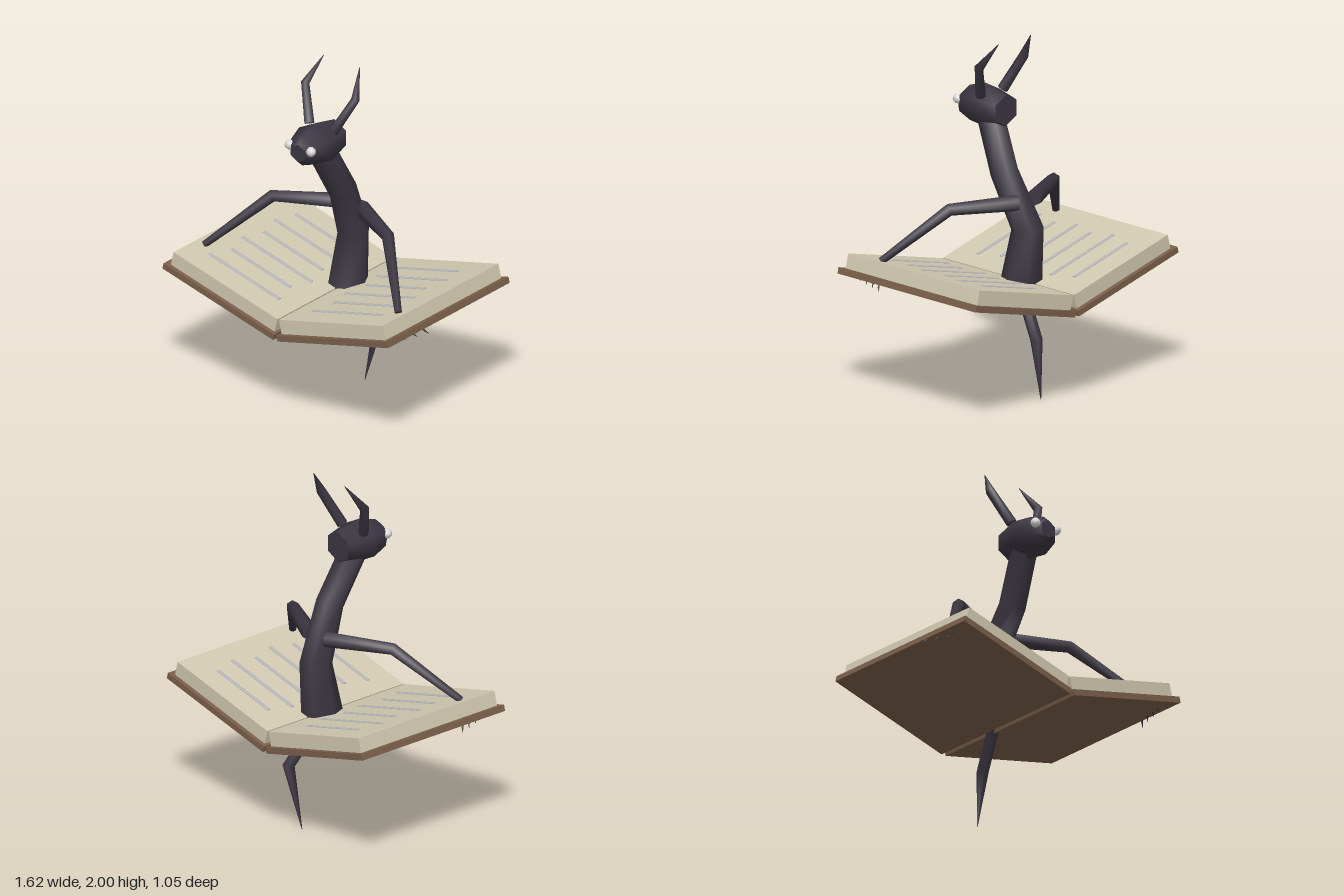
import * as THREE from 'three';

const mat = (name, color) => {
  const m = new THREE.MeshStandardMaterial({ color });
  m.name = name;
  return m;
};

// Tapered limb: a six-sided ring at each [x, y, z, radius] point, closed by sharp end caps.
// ref sets where the first corner of every ring points.
function limb(points, ref, sides = 6) {
  const c = points.map(p => new THREE.Vector3(p[0], p[1], p[2]));
  const pos = [], idx = [], rings = [];
  c.forEach((p, i) => {
    const t = new THREE.Vector3();
    if (i > 0) t.add(p.clone().sub(c[i - 1]).normalize());
    if (i < c.length - 1) t.add(c[i + 1].clone().sub(p).normalize());
    t.normalize();
    const u = ref.clone().addScaledVector(t, -ref.dot(t)).normalize();
    const v = t.clone().cross(u);
    const ring = [];
    for (let j = 0; j < sides; j++) {
      const a = j / sides * Math.PI * 2;
      ring.push(p.clone()
        .addScaledVector(u, Math.cos(a) * points[i][3])
        .addScaledVector(v, Math.sin(a) * points[i][3]));
    }
    rings.push(ring);
    ring.forEach(q => pos.push(q.x, q.y, q.z));
  });
  for (let i = 0; i < c.length - 1; i++) {
    for (let j = 0; j < sides; j++) {
      const a = i * sides + j, b = i * sides + (j + 1) % sides;
      idx.push(a, b, b + sides, a, b + sides, a + sides);
    }
  }
  [0, c.length - 1].forEach(i => {
    const base = pos.length / 3;
    rings[i].forEach(q => pos.push(q.x, q.y, q.z));
    for (let j = 1; j < sides - 1; j++) {
      if (i === 0) idx.push(base, base + j + 1, base + j);
      else idx.push(base, base + j, base + j + 1);
    }
  });
  const g = new THREE.BufferGeometry();
  g.setAttribute('position', new THREE.Float32BufferAttribute(pos, 3));
  g.setIndex(idx);
  g.computeVertexNormals();
  return g;
}

export function createModel() {
  const model = new THREE.Group();
  const skin = mat('dark skin', 0x3b3541);
  const leather = mat('brown cover', 0x7a5f4a);
  const paper = mat('aged paper', 0xd0c8af);
  const silver = mat('silver lines', 0xb4b4ba);
  const white = mat('eye white', 0xdadada);
  const X = new THREE.Vector3(1, 0, 0), Y = new THREE.Vector3(0, 1, 0);

  const add = (name, geo, material, parent = model) => {
    const m = new THREE.Mesh(geo, material);
    m.name = name;
    parent.add(m);
    return m;
  };
  const mirror = (pts, s) => pts.map(([x, y, z, r]) => [x * s, y, z, r]);

  // Open book: two tilted halves, each with cover, page block and raised lines
  for (const s of [1, -1]) {
    const side = s > 0 ? 'left' : 'right';
    const half = new THREE.Group();
    half.name = side + 'BookHalf';
    half.position.set(0.015 * s, 0.525, 0);
    half.rotation.z = 0.248 * s;
    model.add(half);
    add(side + 'Cover', new THREE.BoxGeometry(0.8, 0.035, 1.05), leather, half)
      .position.set(0.4 * s, 0.0175, 0);
    add(side + 'Pages', new THREE.BoxGeometry(0.75, 0.085, 1.0), paper, half)
      .position.set(0.394 * s, 0.0755, 0);
    for (let i = 0; i < 6; i++) {
      const length = i % 2 ? 0.505 : 0.428;
      const line = add(side + 'Line', new THREE.CylinderGeometry(0.011, 0.011, length, 8), silver, half);
      line.rotation.z = Math.PI / 2;
      line.scale.x = 0.5;
      line.position.set(0.386 * s, 0.118, -0.352 + i * 0.139);
    }
  }

  // Bent torso rising from the pages
  add('torso', limb([
    [0, 0.62, -0.1, 0.118], [0, 0.95, -0.148, 0.092],
    [0.04, 1.25, -0.01, 0.08], [0, 1.55, 0.14, 0.078],
  ], X), skin);

  // Faceted head, widest at the middle
  const head = add('head', limb([
    [0, 0, 0.015, 0.088], [0, 0, 0.175, 0.125], [0, 0, 0.29, 0.088], [0, 0, 0.33, 0.052],
  ], Y), skin);
  head.scale.x = 1.08;
  head.position.y = 1.585;

  // Tail hanging below the spine
  add('tail', limb([
    [0, 0.65, -0.08, 0.035], [0.07, 0.36, -0.285, 0.035], [0, 0, -0.25, 0.002],
  ], X), skin);

  for (const s of [1, -1]) {
    const side = s > 0 ? 'left' : 'right';
    // Eyes and horns
    add(side + 'Eye', new THREE.SphereGeometry(0.028, 8, 6), white)
      .position.set(0.075 * s, 1.608, 0.308);
    add(side + 'Horn', limb(mirror([
      [0.085, 1.665, 0.125, 0.03], [0.175, 1.855, 0.05, 0.026], [0.125, 2.0, -0.05, 0.002],
    ], s), X), skin);
    // Arms reaching out to the page edges
    add(side + 'Arm', limb(mirror([
      [0.065, 1.105, -0.135, 0.046], [0.405, 1.1, 0.05, 0.036], [0.68, 0.815, 0.3, 0.021],
    ], s), Y), skin);
    // Fingertips curling under the cover edge
    for (let i = 0; i < 4; i++) {
      const x = 0.705 + i * 0.025, z = 0.43 - i * 0.07;
      add(side + 'Claw', limb(mirror([
        [x, 0.725, z, 0.005], [x + 0.012, 0.708, z - 0.01, 0.005], [x + 0.03, 0.692, z - 0.025, 0.001],
      ], s), Y, 5), skin);
    }
  }
  return model;
}
